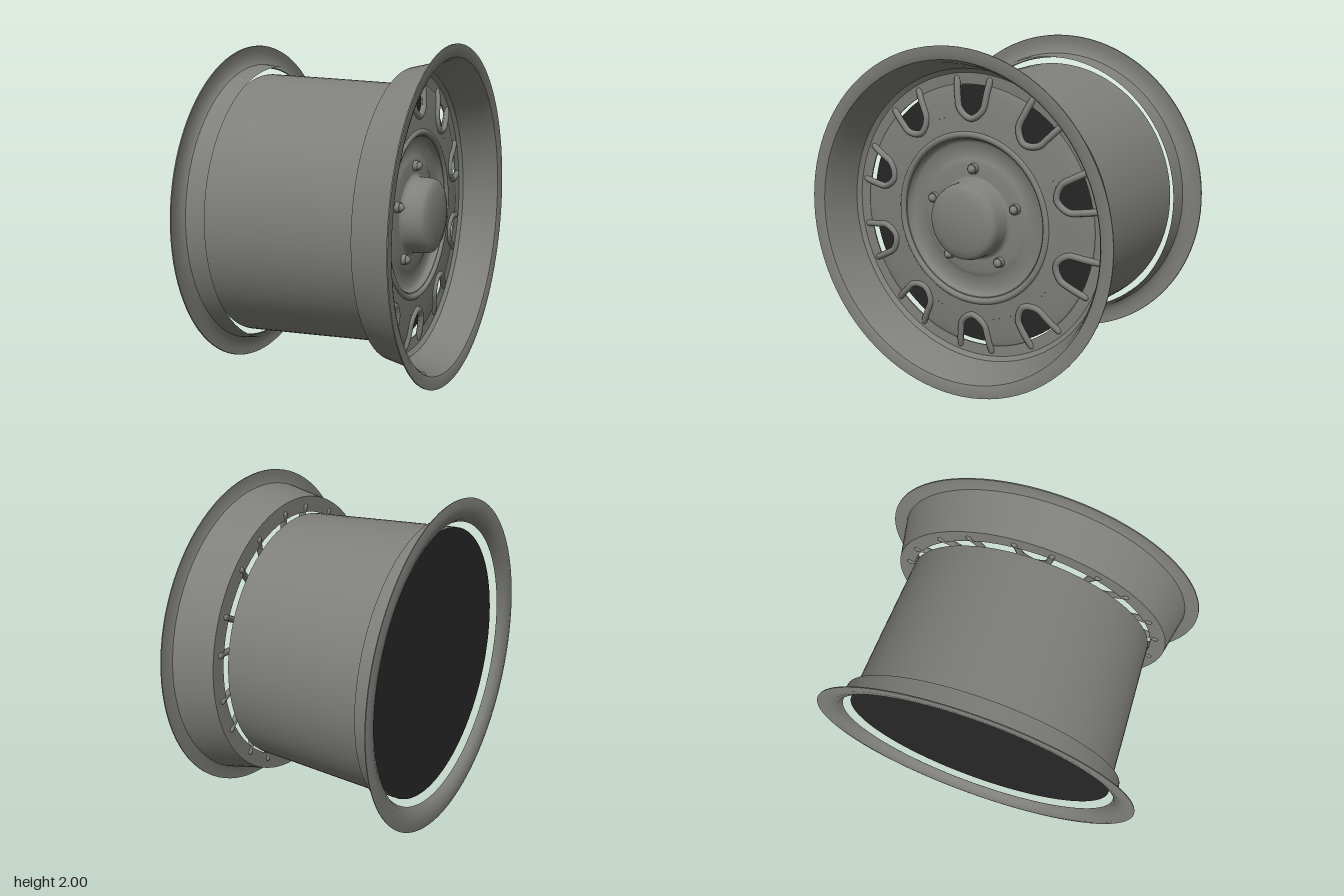
import * as THREE from 'three';
import { toCreasedNormals } from 'three/addons/utils/BufferGeometryUtils.js';
import { ParametricGeometry } from 'three/addons/geometries/ParametricGeometry.js';

const HOLES = 10;
const HOLE_R = 0.6;
const DISC_R = 0.78;

export function createModel() {
  const steel = new THREE.MeshStandardMaterial({ color: 0x7f7f7b });
  steel.name = 'grey steel';
  const dark = new THREE.MeshStandardMaterial({ color: 0x272727 });
  dark.name = 'dark interior';

  // The wheel turns about a local axis that is laid along x
  const wheel = new THREE.Group();
  wheel.name = 'wheel';
  wheel.position.y = 1;

  const add = (name, geometry, material = steel, parent = wheel) => {
    const mesh = new THREE.Mesh(geometry, material);
    mesh.name = name;
    parent.add(mesh);
    return mesh;
  };

  // Revolves [radius, x] points about the x axis
  const revolve = (name, points, material = steel, crease = 0.6) => {
    const geo = new THREE.LatheGeometry(points.map(([r, x]) => new THREE.Vector2(r, x)), 96);
    geo.rotateZ(-Math.PI / 2);
    return add(name, toCreasedNormals(geo, crease), material);
  };

  // Tapered barrel with dark ends
  revolve('barrel', [[0.805, -0.57], [0.79, -0.2], [0.765, 0.36]]);
  revolve('barrelBackCap', [[0, -0.568], [0.804, -0.568]], dark);
  revolve('barrelFrontCap', [[0.764, 0.355], [0, 0.355]], dark);

  // Rear rim: outer wall and a curled lip
  revolve('rearRimWall', [[0.865, -0.625], [0.85, -0.51]]);
  revolve('rearRimLip', [
    [0.84, -0.6], [0.86, -0.632], [0.9, -0.65], [0.94, -0.655], [0.98, -0.648],
    [0.978, -0.642], [0.94, -0.646], [0.9, -0.642], [0.865, -0.625], [0.845, -0.598], [0.84, -0.6],
  ], steel, 0.9);

  // Front rim: deep dish, cone and thin flange
  revolve('frontRim', [
    [0.77, 0.388], [0.865, 0.388], [0.918, 0.632], [0.945, 0.642], [1, 0.643],
    [1, 0.65], [0.95, 0.65], [0.925, 0.64], [0.905, 0.6], [0.86, 0.42], [0.835, 0.4],
    [0.77, 0.396], [0.77, 0.388],
  ]);

  // Disc face height and half width of a vent at a given radius
  const faceX = (r) => 0.392 + 0.04 * Math.sqrt(Math.max(0, (DISC_R - r) / 0.28));
  const ventHalf = (r) => {
    const t = (r - HOLE_R) / (DISC_R - HOLE_R);
    return t <= 0 ? 0 : 0.055 * Math.sqrt(1 - (1 - Math.min(1, t * 2.5)) ** 2) + 0.032 * t;
  };

  // Disc hub side, inside the vents
  const inner = [];
  for (let i = 0; i <= 8; i++) {
    const r = HOLE_R - (0.11 * i) / 8;
    inner.push([r, faceX(r)]);
  }
  revolve('discInnerFace', inner);

  // Disc spokes between neighbouring vents
  const step = (2 * Math.PI) / HOLES;
  const spoke = new ParametricGeometry((u, v, p) => {
    const r = HOLE_R + (DISC_R - HOLE_R) * v * v;
    const edge = Math.asin(ventHalf(r) / r);
    const a = step - edge - u * (step - 2 * edge);
    p.set(faceX(r), r * Math.cos(a), r * Math.sin(a));
  }, 10, 20);

  // Raised bead around one vent
  const path = [];
  for (let i = -12; i <= 12; i++) {
    const k = Math.abs(i) / 12;
    const r = HOLE_R + 0.195 * k * k;
    const w = Math.sign(i) * (ventHalf(r) + 0.02 * Math.min(1, k * 2));
    path.push(new THREE.Vector3(faceX(r) + 0.002, r - 0.018 * (1 - k), w));
  }
  const bead = new THREE.TubeGeometry(new THREE.CatmullRomCurve3(path), 48, 0.019, 10);
  const beadEnd = new THREE.SphereGeometry(0.019, 10, 8);

  for (let i = 0; i < HOLES; i++) {
    const sector = new THREE.Group();
    sector.name = 'ventSector';
    sector.rotation.x = i * step;
    add('discSpoke', spoke, steel, sector);
    add('ventBead', bead, steel, sector);
    for (const end of [path[0], path[path.length - 1]]) {
      add('ventBeadEnd', beadEnd, steel, sector).position.copy(end);
    }
    wheel.add(sector);
  }

  // Round bead between the disc and the recessed centre
  const ring = new THREE.TorusGeometry(0.49, 0.02, 12, 96);
  ring.rotateY(Math.PI / 2);
  add('centreBead', ring).position.x = 0.425;

  // Recessed centre
  revolve('centreDish', [
    [0.48, 0.428], [0.465, 0.425], [0.455, 0.398], [0.44, 0.388], [0.36, 0.385],
    [0.345, 0.392], [0.32, 0.4], [0.2, 0.4],
  ], steel, 0.8);

  // Hub with a rounded cap
  revolve('hubCap', [
    [0.245, 0.4], [0.232, 0.405], [0.226, 0.42], [0.222, 0.5], [0.214, 0.525],
    [0.195, 0.54], [0.17, 0.546], [0.16, 0.55], [0, 0.552],
  ], steel, 0.9);

  // Five wheel nuts
  const nutBase = new THREE.CylinderGeometry(0.03, 0.032, 0.03, 20);
  nutBase.rotateZ(-Math.PI / 2);
  const nutTop = new THREE.SphereGeometry(0.025, 16, 10);
  for (let i = 0; i < 5; i++) {
    const a = (i * 2 * Math.PI) / 5;
    const nut = new THREE.Group();
    nut.name = 'wheelNut';
    nut.position.set(0.41, 0.292 * Math.cos(a), 0.292 * Math.sin(a));
    add('nutBase', nutBase, steel, nut);
    add('nutTop', nutTop, steel, nut).position.x = 0.013;
    wheel.add(nut);
  }

  const model = new THREE.Group();
  model.name = 'wheelRim';
  model.add(wheel);
  return model;
}
